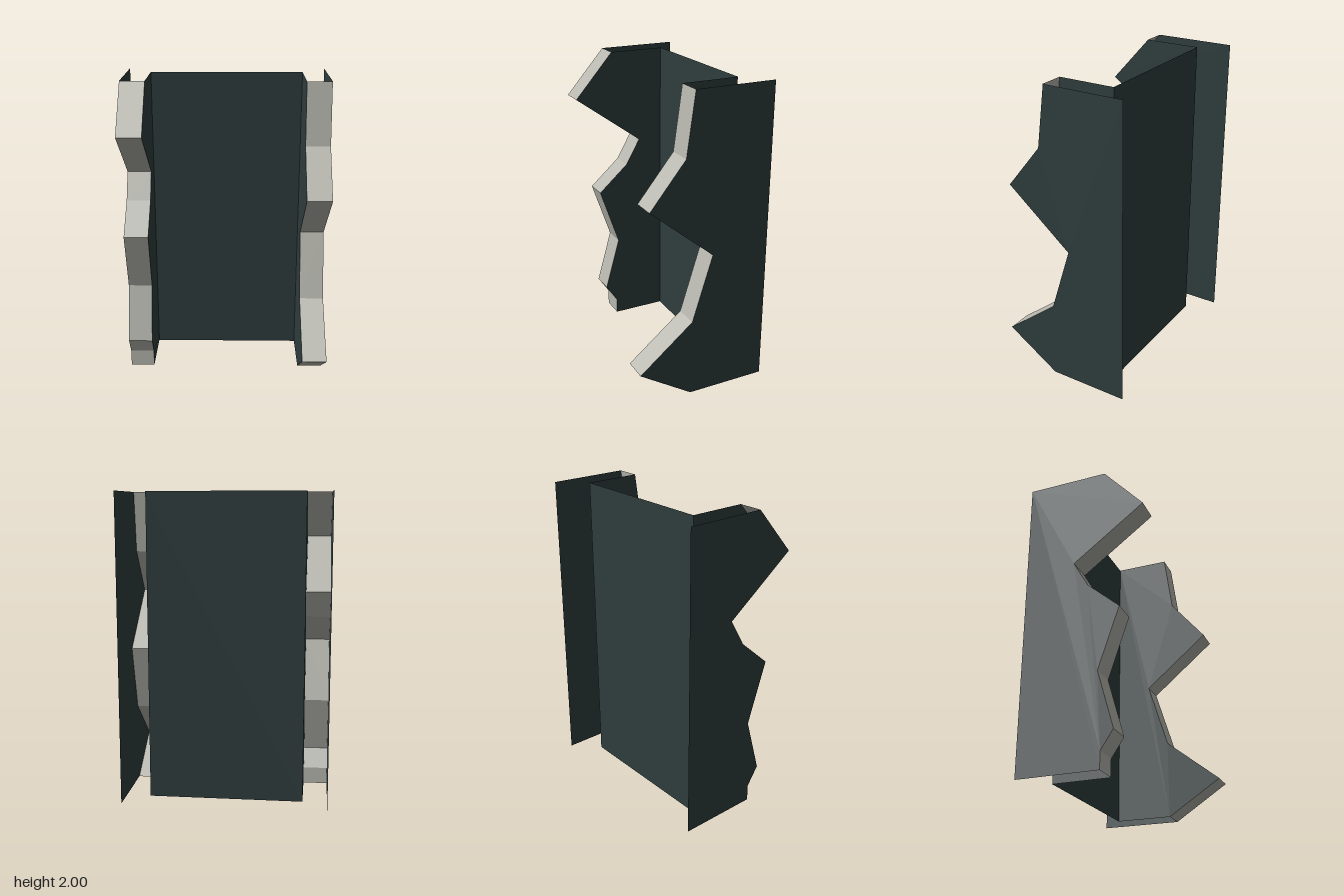
import * as THREE from 'three';

const teal = new THREE.MeshStandardMaterial({ name: 'darkTeal', color: 0x2f3d3d, side: THREE.DoubleSide });
const stone = new THREE.MeshStandardMaterial({ name: 'paleGrey', color: 0xb8b8b0, side: THREE.DoubleSide });

const INNER = 0.505, OUTER = 0.665;      // x of each pillar's two walls
const PANEL_Z = -0.28, BACK_Z = -0.44;   // back edges of inner and outer walls

// Jagged front edges as [z, y], top to bottom
const leftEdge = [[0.09, 2], [0.145, 1.6], [0.38, 1.31], [-0.05, 0.955], [0.085, 0.52], [0.445, 0.23], [0.09, 0]];
const rightEdge = [[0.09, 2], [0.355, 1.7], [-0.11, 1.36], [-0.01, 1.185], [0.2, 1], [0.065, 0.6],
  [0.17, 0.23], [0.09, 0.11], [0.09, 0]];

function addMesh(parent, name, geometry, material) {
  const mesh = new THREE.Mesh(geometry, material);
  mesh.name = name;
  parent.add(mesh);
  return mesh;
}

// Thin upright sheet between a jagged edge and a straight back edge
function wall(edge, backZ, x) {
  const outline = [...edge, [backZ, 0], [backZ, 2]].map(([z, y]) => new THREE.Vector2(z, y));
  return new THREE.ShapeGeometry(new THREE.Shape(outline)).rotateY(-Math.PI / 2).translate(x, 0, 0);
}

// Folded strip that follows the jagged edge
function strip(edge, x) {
  const plane = new THREE.PlaneGeometry(OUTER - INNER, 1, 1, edge.length - 1);
  const pos = plane.attributes.position;
  for (let i = 0; i < pos.count; i++) {
    const [z, y] = edge[Math.floor(i / 2)];
    pos.setXYZ(i, pos.getX(i) + x, y, z);
  }
  const flat = plane.toNonIndexed();
  flat.computeVertexNormals();
  return flat;
}

function pillar(name, edge, side) {
  const group = new THREE.Group();
  group.name = name;
  addMesh(group, 'innerWall', wall(edge, PANEL_Z, side * INNER), teal);
  addMesh(group, 'outerWall', wall(edge, BACK_Z, side * OUTER), teal);
  addMesh(group, 'frontStrip', strip(edge, side * (INNER + OUTER) / 2), stone);
  return group;
}

export function createModel() {
  const model = new THREE.Group();
  model.name = 'jaggedPassage';
  model.add(pillar('leftPillar', leftEdge, 1), pillar('rightPillar', rightEdge, -1));

  // Flat sheet closing the passage
  addMesh(model, 'backPanel', new THREE.PlaneGeometry(INNER * 2, 2).translate(0, 1, PANEL_Z), teal);
  return model;
}
